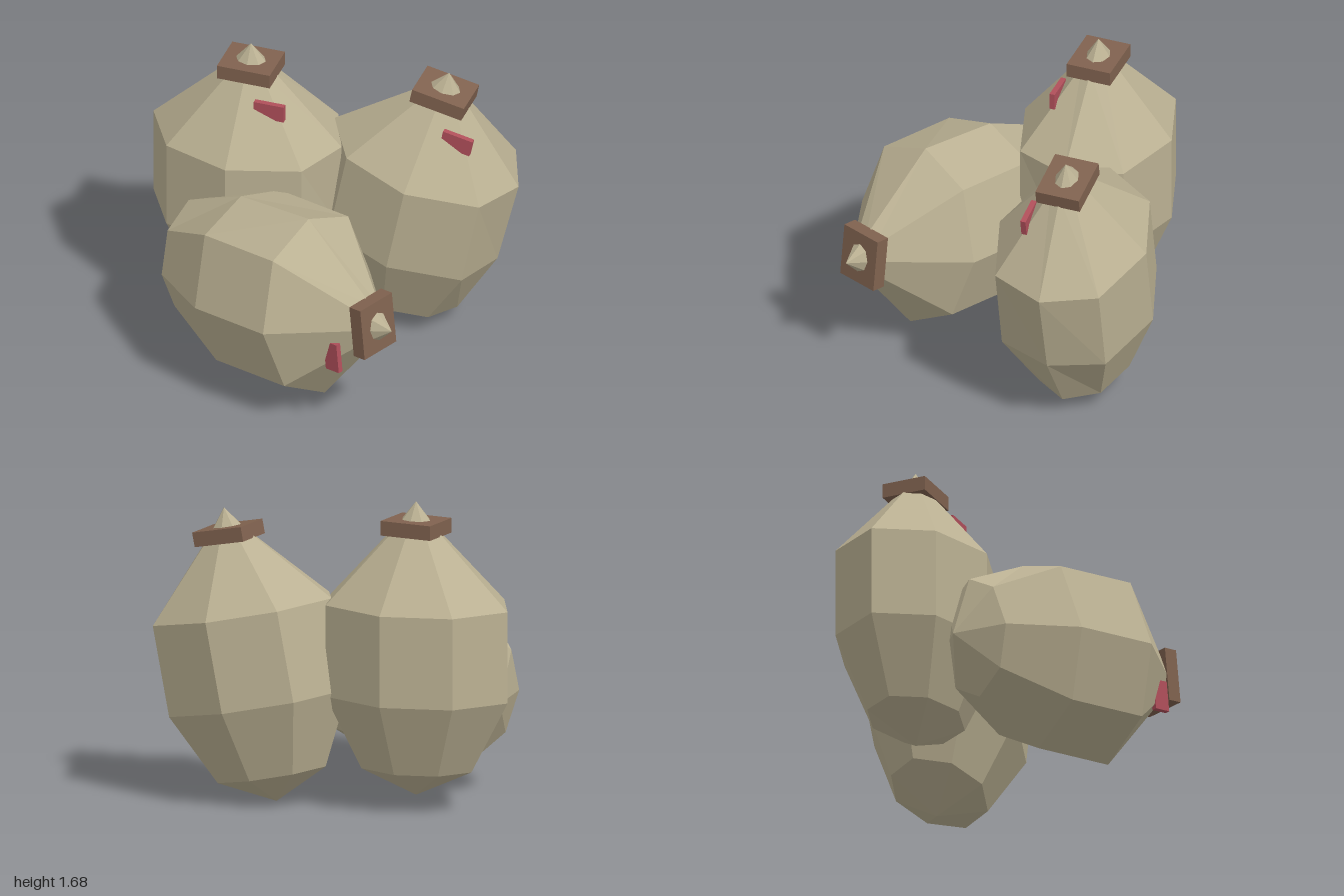
import * as THREE from 'three';

const sackCloth = new THREE.MeshStandardMaterial({ color: 0xbbb193 });
sackCloth.name = 'sackCloth';
const tieBrown = new THREE.MeshStandardMaterial({ color: 0x80624f });
tieBrown.name = 'tieBrown';
const tagRed = new THREE.MeshStandardMaterial({ color: 0xb04f5a });
tagRed.name = 'tagRed';

// Profile of the sack: radius, height, and how far the +x side bulges
const rings = [
  [0, 0, 1], [0.335, 0.155, 1.02], [0.555, 0.555, 0.89],
  [0.555, 1.055, 0.928], [0.118, 1.47, 1], [0, 1.61, 1],
];

// Eight-sided faceted sack, oval in section and slightly lopsided
function sackGeometry() {
  const lathe = new THREE.LatheGeometry(rings.map(([r, y]) => new THREE.Vector2(r, y)), 8);
  const p = lathe.attributes.position;
  for (let i = 0; i < p.count; i++) {
    const x = p.getX(i), z = p.getZ(i);
    const [r, , bulge] = rings[i % rings.length];
    const diagonal = Math.abs(z) > 0.1 * r;
    const k = diagonal ? (x > 0 ? 1.0 : 0.96) : (x > 0 ? bulge : 1);
    p.setX(i, x * k);
    p.setZ(i, z * 0.76);
  }
  const flat = lathe.toNonIndexed();
  flat.computeVertexNormals();
  return flat;
}

// A sack standing on its own origin, with neck tie and side tag
function makeSack(name, geometry, tagSide) {
  const sack = new THREE.Group();
  sack.name = name;

  const body = new THREE.Mesh(geometry, sackCloth);
  body.name = 'sackBody';

  const tie = new THREE.Mesh(new THREE.BoxGeometry(0.3, 0.08, 0.25), tieBrown);
  tie.name = 'neckTie';
  tie.position.y = 1.47;

  const tag = new THREE.Mesh(new THREE.BoxGeometry(0.17, 0.095, 0.03), tagRed);
  tag.name = 'sideTag';
  tag.position.set(0.165 * tagSide, 1.317, 0.17 * tagSide);

  sack.add(body, tie, tag);
  return sack;
}

export function createModel() {
  const model = new THREE.Group();
  model.name = 'sackPile';
  const geometry = sackGeometry();

  // Upright sack
  const upright = makeSack('uprightSack', geometry, 1);
  upright.position.set(-0.445, 0.07, -0.27);

  // Sack leaning to the side
  const leaning = makeSack('leaningSack', geometry, 1);
  leaning.position.set(0.285, 0.005, -0.49);
  leaning.rotation.z = -0.2;

  // Sack lying in front, its neck pointing sideways and forward
  const lying = makeSack('lyingSack', geometry, -1);
  const axis = new THREE.Vector3(1.47, 0.175, 0.635).normalize();
  const across = new THREE.Vector3(axis.z, 0, -axis.x).normalize();
  const up = new THREE.Vector3().crossVectors(axis, across);
  lying.quaternion.setFromRotationMatrix(new THREE.Matrix4().makeBasis(up, axis, across));
  lying.position.set(-0.76, 0.53, 0.1);

  model.add(upright, leaning, lying);
  return model;
}
